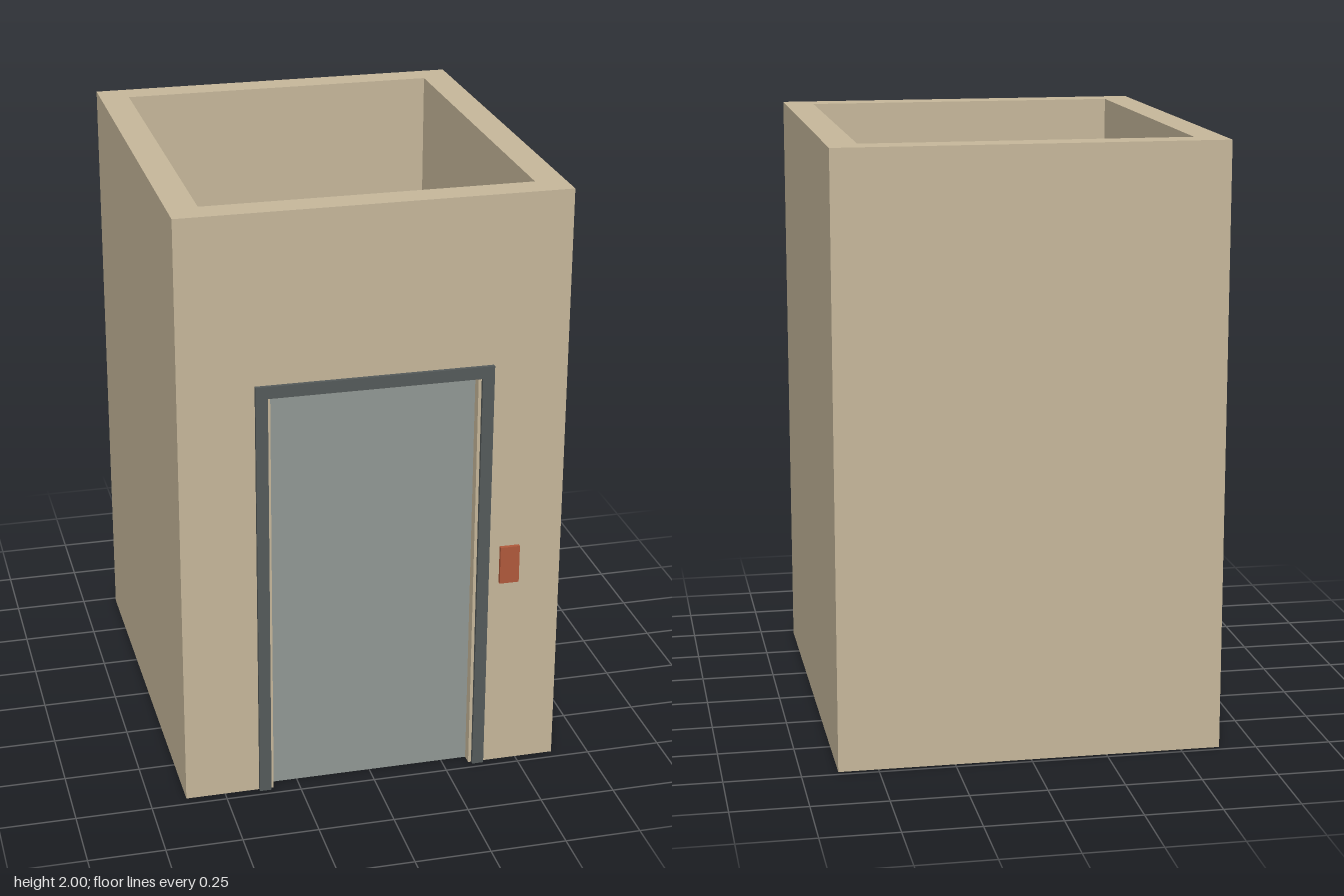
import * as THREE from 'three';

const material = (color) => new THREE.MeshStandardMaterial({ color });

export function createModel() {
  const group = new THREE.Group();
  const wallMat = material(0xc8b99c);
  const greyMat = material(0x939a96);
  const frameMat = material(0x555b5b);
  const buttonMat = material(0xb25a3c);

  const X = 0.63, BACK = -0.73, FRONT = 0.717, T = 0.098; // shell extents and wall thickness
  const IX = X - T, IB = BACK + T, IF = FRONT - T;         // inner faces
  const DOOR_X = 0.336, DOOR_H = 1.4;                      // door opening

  // Box given by its minimum and maximum corners
  const box = (name, mat, [x0, y0, z0], [x1, y1, z1]) => {
    const mesh = new THREE.Mesh(new THREE.BoxGeometry(x1 - x0, y1 - y0, z1 - z0), mat);
    mesh.position.set((x0 + x1) / 2, (y0 + y1) / 2, (z0 + z1) / 2);
    mesh.name = name;
    group.add(mesh);
  };

  // Shape from [x, z] plan points (z is flipped so the extrusion stands upright)
  const outline = (points, Type = THREE.Shape) =>
    new Type(points.map(([x, z]) => new THREE.Vector2(x, -z)));
  const storey = (name, shape, y0, y1) => {
    const geo = new THREE.ExtrudeGeometry(shape, { depth: y1 - y0, bevelEnabled: false });
    geo.rotateX(-Math.PI / 2);
    const mesh = new THREE.Mesh(geo, wallMat);
    mesh.position.y = y0;
    mesh.name = name;
    group.add(mesh);
  };

  // Lower walls: plan ring broken by the doorway
  storey('lowerWalls', outline([
    [DOOR_X, FRONT], [X, FRONT], [X, BACK], [-X, BACK], [-X, FRONT], [-DOOR_X, FRONT],
    [-DOOR_X, IF], [-IX, IF], [-IX, IB], [IX, IB], [IX, IF], [DOOR_X, IF],
  ]), 0, DOOR_H);

  // Upper walls: closed ring, its underside forms the lintel
  const ring = outline([[-X, FRONT], [X, FRONT], [X, BACK], [-X, BACK]]);
  ring.holes.push(outline([[-IX, IF], [-IX, IB], [IX, IB], [IX, IF]], THREE.Path));
  storey('upperWalls', ring, DOOR_H, 2);

  // Floor slab and recessed door panel
  box('floor', greyMat, [-IX, 0, IB], [IX, 0.04, IF]);
  box('door', greyMat, [-DOOR_X, 0, 0.652], [DOOR_X, DOOR_H, 0.682]);

  // Door frame on the outside face
  for (const s of [-1, 1]) {
    box(s > 0 ? 'frameLeft' : 'frameRight', frameMat,
      [s > 0 ? 0.346 : -0.385, 0, FRONT], [s > 0 ? 0.385 : -0.346, DOOR_H, 0.73]);
  }
  box('frameTop', frameMat, [-0.385, DOOR_H, FRONT], [0.385, 1.44, 0.73]);

  // Call panel beside the door
  box('callPanel', buttonMat, [0.423, 0.67, FRONT], [0.488, 0.8, 0.73]);

  return group;
}
